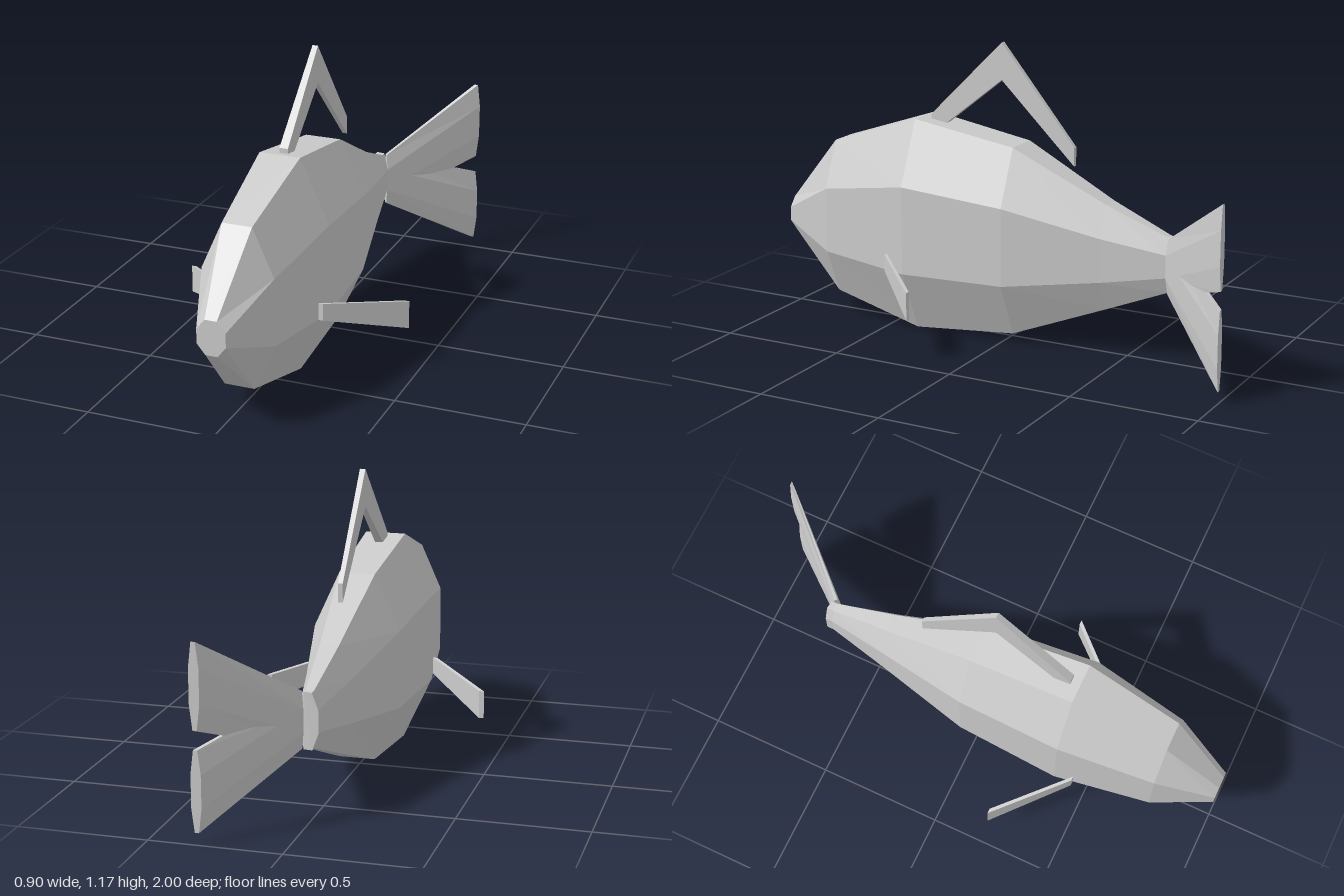
import * as THREE from 'three';

const skin = new THREE.MeshStandardMaterial({ color: 0xcccccc, flatShading: true });
skin.name = 'grey skin';

// Skin a list of closed rings (counter-clockwise about the direction of travel) and cap both ends
function loft(name, rings) {
  const pos = [];
  const tri = (a, b, c) => pos.push(...a, ...b, ...c);
  const n = rings[0].length;
  for (let i = 0; i < rings.length - 1; i++) {
    for (let j = 0; j < n; j++) {
      const k = (j + 1) % n, r = rings[i], s = rings[i + 1];
      tri(r[j], r[k], s[k]);
      tri(r[j], s[k], s[j]);
    }
  }
  const first = rings[0], last = rings[rings.length - 1];
  for (let j = 2; j < n; j++) {
    const a = j, b = (j + 1) % n;
    tri(first[1], first[b], first[a]);
    tri(last[1], last[a], last[b]);
  }
  const geo = new THREE.BufferGeometry();
  geo.setAttribute('position', new THREE.Float32BufferAttribute(pos, 3));
  geo.computeVertexNormals();
  const mesh = new THREE.Mesh(geo, skin);
  mesh.name = name;
  return mesh;
}

// Octagon with flat sides, given as unit half extents mapped to a point
function octagon(place) {
  return Array.from({ length: 8 }, (_, i) => {
    const a = Math.PI / 8 + i * Math.PI / 4, s = Math.cos(Math.PI / 8);
    return place(Math.cos(a) / s, Math.sin(a) / s);
  });
}

// Upright rectangle across the x axis
const rect = (x, w, lo, hi, z) =>
  [[x + w, hi, z], [x - w, hi, z], [x - w, lo, z], [x + w, lo, z]];

export function createModel() {
  const fish = new THREE.Group();
  fish.name = 'fish';

  // Body sections from tail to nose: z, bottom, top, half width
  const sections = [
    [-0.667, 0.285, 0.5, 0.04],
    [-0.42, 0.187, 0.6, 0.088],
    [-0.04, 0.04, 0.785, 0.17],
    [0.385, 0.004, 0.855, 0.195],
    [0.77, 0.095, 0.725, 0.141],
    [1, 0.32, 0.455, 0.056],
  ];
  const rings = sections.map(([z, lo, hi, w]) =>
    octagon((c, s) => [c * w, (lo + hi) / 2 + s * (hi - lo) / 2, z]));
  // Short stub whose left side is cut at an angle for the bent tail
  const stub = rings[0].map(([x, y]) => [x, y, x > 0.03 ? -0.667 : x > 0 ? -0.69 : -0.695]);
  fish.add(loft('body', [stub, ...rings]));

  // Two tail lobes sharing one root, swept to the left
  const root = octagon((c, s) => [0.0285 - 0.0115 * c, 0.3925 + 0.1075 * s, -0.6785 - 0.0115 * c]);
  for (const [name, y, h] of [['upperTailLobe', 0.585, 0.16], ['lowerTailLobe', 0.2025, 0.1525]]) {
    const tip = octagon((c, s) => [0.314 - 0.019 * c, y + h * s, -1]);
    fish.add(loft(name, [root, tip]));
  }

  // Bent back fin
  fish.add(loft('dorsalFin', [
    rect(0, 0.009, 0.725, 0.798, -0.27),
    rect(0, 0.011, 1.03, 1.175, 0.04),
    rect(0, 0.017, 0.785, 0.868, 0.348),
  ]));

  // Swept side fins
  for (const side of [1, -1]) {
    fish.add(loft(side > 0 ? 'leftFin' : 'rightFin', [
      rect(side * 0.441, 0.01, 0.163, 0.274, 0.213),
      rect(side * 0.193, 0.009, 0.257, 0.325, 0.461),
    ]));
  }
  return fish;
}
